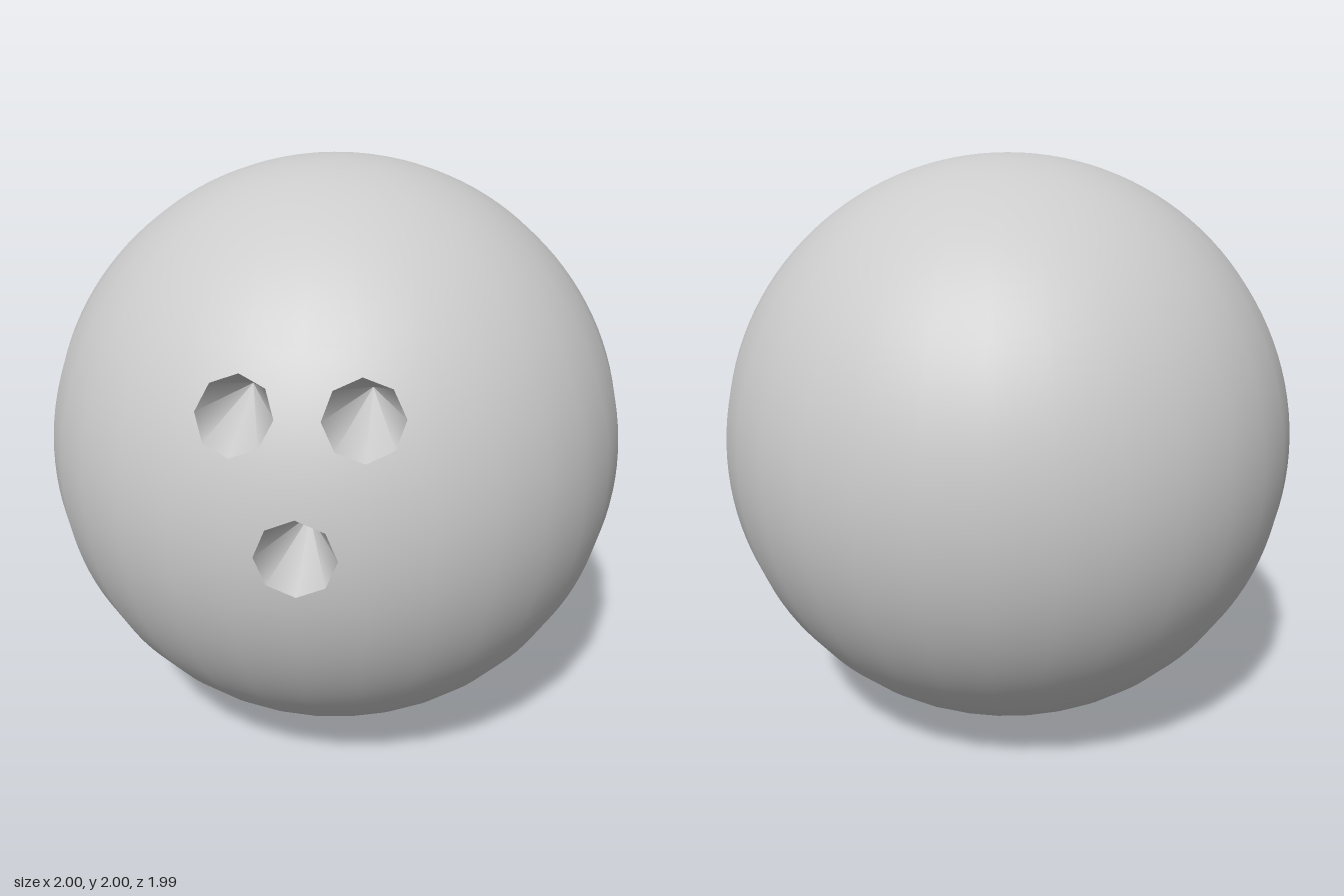
import * as THREE from 'three';
import { toCreasedNormals } from 'three/addons/utils/BufferGeometryUtils.js';

const CELL = Math.PI / 8;          // each finger hole sits in a square patch this wide
const LON = 32, LAT = 64, SPLIT = 4, RINGS = 3;
const HOLES = [
  { name: 'thumbHole', lon: 0, lat: 0, radius: 0.12 },
  { name: 'leftFingerHole', lon: CELL / 2, lat: CELL, radius: 0.118 },
  { name: 'rightFingerHole', lon: -CELL / 2, lat: CELL, radius: 0.118 },
];
// Corners and mid-sides of a patch, counter-clockwise
const SQUARE = [[1, 0], [1, 1], [0, 1], [-1, 1], [-1, 0], [-1, -1], [0, -1], [1, -1]];

const onSphere = (lon, lat) => new THREE.Vector3(
  Math.cos(lat) * Math.sin(lon), Math.sin(lat), Math.cos(lat) * Math.cos(lon));

// Eight rim corners of a hole, lying on the sphere
function rimCorners({ lon, lat, radius }) {
  const centre = onSphere(lon, lat);
  const east = new THREE.Vector3(Math.cos(lon), 0, -Math.sin(lon));
  const north = centre.clone().cross(east);
  return SQUARE.map((_, i) => {
    const a = i * Math.PI / 4;
    return centre.clone().addScaledVector(east, radius * Math.cos(a))
      .addScaledVector(north, radius * Math.sin(a)).normalize();
  });
}

// Point on the square patch border, matching the edges of the main grid
function borderPoint(hole, i, t) {
  const at = ([u, v]) => onSphere(hole.lon + u * CELL / 2, hole.lat + v * CELL / 2);
  const a = SQUARE[i], b = SQUARE[(i + 1) % 8];
  if (a[1] === b[1]) return at(a).lerp(at(b), t);
  return at([a[0], a[1] + (b[1] - a[1]) * t]);
}

function shellGeometry() {
  const pos = [], nor = [], idx = [];
  const add = p => {
    pos.push(p.x, p.y, p.z);
    const n = p.clone().normalize();
    nor.push(n.x, n.y, n.z);
  };
  const quad = (a, b, c, d) => idx.push(a, b, c, a, c, d);

  // Main grid, leaving out the patches around the holes
  for (let j = 0; j <= LAT; j++) {
    for (let i = 0; i <= LON; i++) {
      add(onSphere(-Math.PI + i / LON * 2 * Math.PI, -Math.PI / 2 + j / LAT * Math.PI));
    }
  }
  for (let j = 0; j < LAT; j++) {
    for (let i = 0; i < LON; i++) {
      const lon = -Math.PI + (i + 0.5) / LON * 2 * Math.PI;
      const lat = -Math.PI / 2 + (j + 0.5) / LAT * Math.PI;
      if (HOLES.some(h => Math.abs(lon - h.lon) < CELL / 2 && Math.abs(lat - h.lat) < CELL / 2)) continue;
      const a = j * (LON + 1) + i;
      quad(a, a + 1, a + LON + 2, a + LON + 1);
    }
  }

  // Patches bridging each octagonal rim to its square border
  for (const hole of HOLES) {
    const rim = rimCorners(hole), start = pos.length / 3, n = 8 * SPLIT;
    for (let r = 0; r <= RINGS; r++) {
      for (let k = 0; k < n; k++) {
        const i = Math.floor(k / SPLIT), t = (k % SPLIT) / SPLIT;
        const p = rim[i].clone().lerp(rim[(i + 1) % 8], t).lerp(borderPoint(hole, i, t), r / RINGS);
        if (r > 0 && r < RINGS) p.normalize();
        add(p);
      }
    }
    for (let r = 0; r < RINGS; r++) {
      for (let k = 0; k < n; k++) {
        const a = start + r * n, b = a + n, m = (k + 1) % n;
        quad(a + k, b + k, b + m, a + m);
      }
    }
  }

  const g = new THREE.BufferGeometry();
  g.setAttribute('position', new THREE.Float32BufferAttribute(pos, 3));
  g.setAttribute('normal', new THREE.Float32BufferAttribute(nor, 3));
  g.setIndex(idx);
  return g;
}

// Tapered pit running straight back from the rim
function pitGeometry(hole) {
  const rim = rimCorners(hole);
  const tip = onSphere(hole.lon, hole.lat);
  tip.z -= 0.3;
  const points = rim.flatMap((p, i) => [p, rim[(i + 1) % 8], tip]);
  return toCreasedNormals(new THREE.BufferGeometry().setFromPoints(points), 1);
}

export function createModel() {
  const group = new THREE.Group();
  group.name = 'bowlingBall';
  const material = new THREE.MeshStandardMaterial({ color: 0xcccccc });
  const addPart = (name, geometry) => {
    const mesh = new THREE.Mesh(geometry, material);
    mesh.name = name;
    mesh.position.y = 1;
    group.add(mesh);
  };
  addPart('ballShell', shellGeometry());
  for (const hole of HOLES) addPart(hole.name, pitGeometry(hole));
  return group;
}
